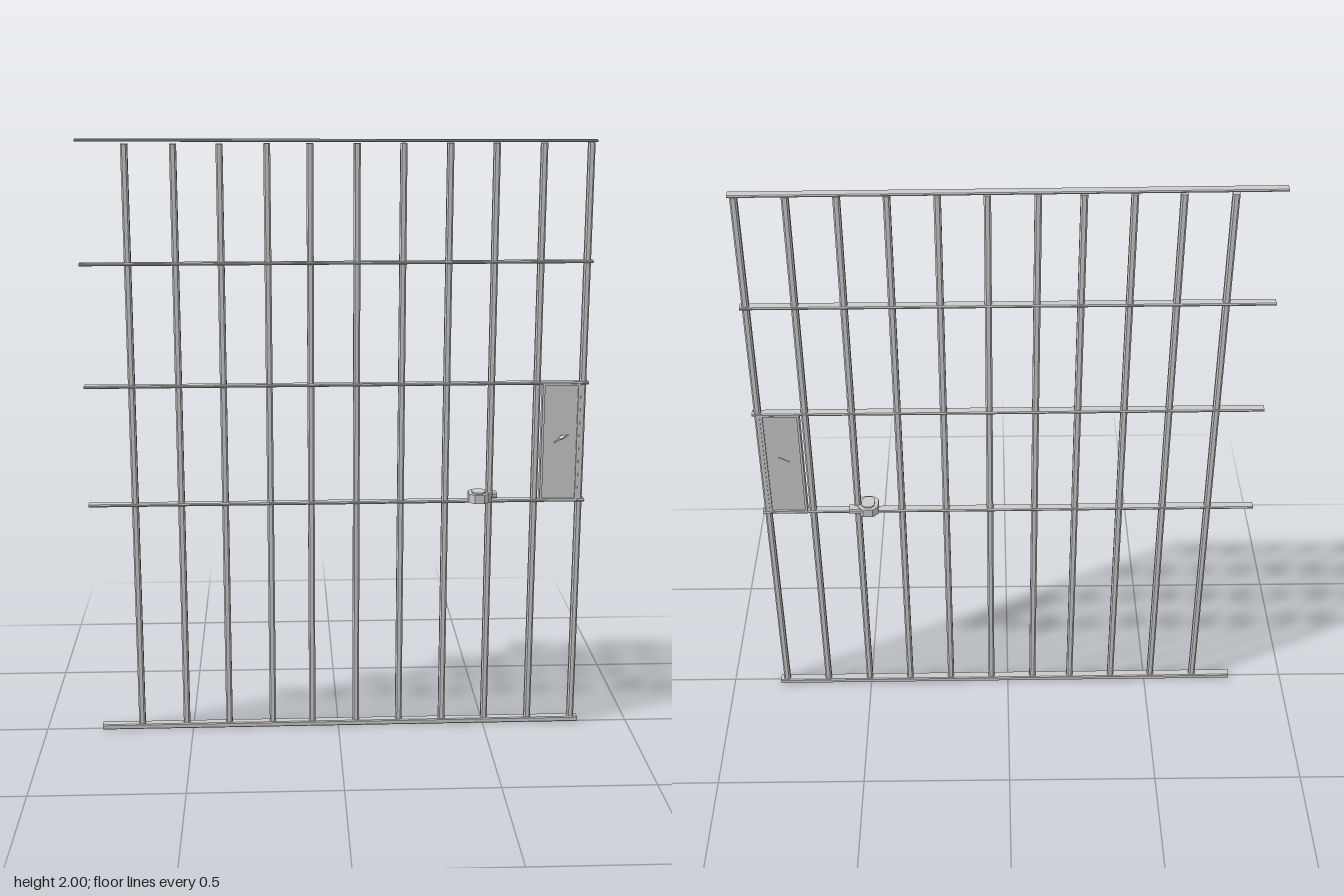
import * as THREE from 'three';

const steel = new THREE.MeshStandardMaterial({ color: 0xcccccc, flatShading: true });
const Z = -0.005; // middle plane of the grille

// the grille swings very slightly out of square
const skew = (x) => Z - 0.004 * x;

function add(parent, name, geometry, x, y, z) {
  const mesh = new THREE.Mesh(geometry, steel);
  mesh.name = name;
  mesh.position.set(x, y, z);
  parent.add(mesh);
  return mesh;
}

// rectangle with cut corners, centred on the origin
function chamferedRect(w, h, c) {
  const a = w / 2, b = h / 2;
  return new THREE.Shape([
    [-a + c, -b], [a - c, -b], [a, -b + c], [a, b - c],
    [a - c, b], [-a + c, b], [-a, b - c], [-a, -b + c],
  ].map(([x, y]) => new THREE.Vector2(x, y)));
}

function prism(w, h, c, depth) {
  const g = new THREE.ExtrudeGeometry(chamferedRect(w, h, c), { depth, bevelEnabled: false });
  return g.translate(0, 0, -depth / 2);
}

export function createModel() {
  const model = new THREE.Group();
  model.name = 'barredGate';

  // upright bars
  const bars = [-0.675, -0.522, -0.376, -0.226, -0.09, 0.06, 0.208, 0.357, 0.505, 0.656, 0.807];
  const barGeometry = prism(0.022, 0.024, 0.005, 1.98).rotateX(Math.PI / 2);
  bars.forEach((x) => add(model, 'uprightBar', barGeometry, x, 0.995, skew(x)));

  // flat cross rails: height, thickness, centre x, length, tilt
  const rails = [
    [0.01, 0.018, 0.01, 1.64, 0],
    [0.803, 0.009, -0.002, 1.655, 0],
    [1.205, 0.009, -0.002, 1.655, 0],
    [1.606, 0.009, -0.002, 1.655, 0],
    [1.994, 0.008, -0.002, 1.655, -0.004],
  ];
  for (const [y, t, x, length, tilt] of rails) {
    const g = prism(0.031, t, 0.003, length).rotateY(Math.PI / 2);
    add(model, 'crossRail', g, x, y, Z).rotation.set(0, 0.004, tilt);
  }

  // lock plate: rim with a recessed panel
  const lock = new THREE.Group();
  lock.name = 'lockPlate';
  lock.position.set(0.737, 1.004, skew(0.737));
  model.add(lock);
  const rim = chamferedRect(0.126, 0.404, 0.002);
  rim.holes.push(chamferedRect(0.11, 0.388, 0.002));
  add(lock, 'plateRim', new THREE.ExtrudeGeometry(rim, { depth: 0.03, bevelEnabled: false }), 0, 0, -0.015);
  add(lock, 'platePanel', new THREE.BoxGeometry(0.112, 0.39, 0.018), 0, 0, 0);

  // pointed knob with a slanted lever
  const knob = [[0, 0], [0.004, 0.001], [0.004, 0.018], [0.014, 0.026], [0.004, 0.034], [0, 0.043]]
    .map(([r, h]) => new THREE.Vector2(r, h));
  const spindle = add(lock, 'knob', new THREE.LatheGeometry(knob, 8).rotateX(Math.PI / 2), 0.003, 0.022, 0.007);
  spindle.scale.y = 0.5;
  spindle.rotation.z = 0.5;
  add(lock, 'lever', new THREE.BoxGeometry(0.055, 0.005, 0.006), 0, 0.018, 0.033).rotation.z = 0.5;
  add(lock, 'keySlot', new THREE.BoxGeometry(0.04, 0.005, 0.003), 0, 0.018, -0.01).rotation.z = 0.5;

  // latch block clasping the rail, with its small bolt
  const latch = new THREE.Group();
  latch.name = 'latch';
  latch.position.set(0.47, 0.816, -0.008);
  model.add(latch);
  const block = prism(0.068, 0.078, 0.018, 0.03).rotateX(Math.PI / 2);
  add(latch, 'latchBody', block, 0, 0, 0);
  add(latch, 'latchCap', prism(0.044, 0.056, 0.012, 0.008).rotateX(Math.PI / 2), 0, 0.016, 0);
  add(latch, 'latchBolt', prism(0.035, 0.018, 0.004, 0.04).rotateY(Math.PI / 2), 0.043, 0.002, -0.016);

  return model;
}
